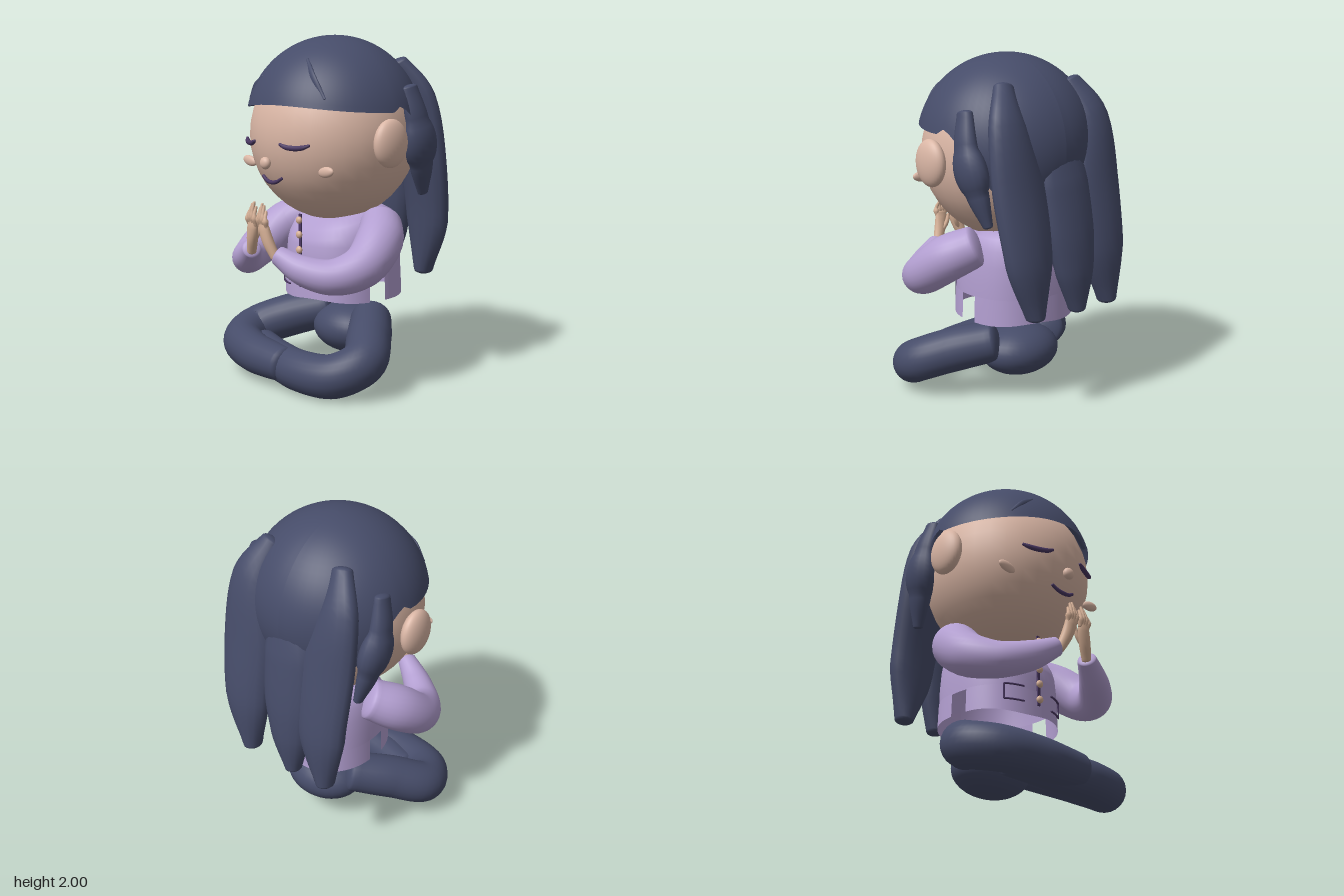
import * as THREE from 'three';

const mat = (name, color, side = THREE.FrontSide) => {
  const m = new THREE.MeshStandardMaterial({ color, side });
  m.name = name;
  return m;
};

// Smooth closed tube through points [x, y, z, radiusA, radiusB], with rounded ends
function sweep(pts, { sides = 16, steps = 24, round = 0.5, ref = [0, 0, 1] } = {}) {
  const path = new THREE.CatmullRomCurve3(pts.map(p => new THREE.Vector3(p[0], p[1], p[2])));
  const radii = new THREE.CatmullRomCurve3(pts.map(p => new THREE.Vector3(p[3], p[4] ?? p[3], 0)));
  const up = new THREE.Vector3(...ref), rings = [], pos = [], index = [], CAP = 5;
  for (let k = 0; k < CAP; k++) {
    const a = k / CAP * Math.PI / 2;
    rings.push([0, Math.sin(a), -Math.cos(a)]);
  }
  for (let i = 0; i <= steps; i++) rings.push([i / steps, 1, 0]);
  for (let k = CAP - 1; k >= 0; k--) {
    const a = k / CAP * Math.PI / 2;
    rings.push([1, Math.sin(a), Math.cos(a)]);
  }
  rings.forEach(([t, scale, offset], i) => {
    const c = path.getPoint(t), T = path.getTangent(t), r = radii.getPoint(t);
    const S = up.clone().cross(T).normalize(), N = T.clone().cross(S);
    c.addScaledVector(T, offset * round * Math.min(r.x, r.y));
    for (let j = 0; j < sides; j++) {
      const a = j / sides * Math.PI * 2;
      const v = c.clone().addScaledVector(S, Math.cos(a) * r.x * scale).addScaledVector(N, Math.sin(a) * r.y * scale);
      pos.push(v.x, v.y, v.z);
      if (i < rings.length - 1) {
        const p = i * sides + j, q = i * sides + (j + 1) % sides;
        index.push(p, q, p + sides, q, q + sides, p + sides);
      }
    }
  });
  const g = new THREE.BufferGeometry();
  g.setAttribute('position', new THREE.Float32BufferAttribute(pos, 3));
  g.setIndex(index);
  g.computeVertexNormals();
  return g;
}

// Squared-off body section shared by the shirt and pockets; the neckline drops towards the front
const POW = 2.4, BODY_Z = -0.065;
function shirtPart(profile, start, length, wave = 0) {
  const g = new THREE.LatheGeometry(profile.map(p => new THREE.Vector2(...p)), 48, start, length);
  const p = g.attributes.position;
  for (let i = 0; i < p.count; i++) {
    const x = p.getX(i), y = p.getY(i), z = p.getZ(i), r = Math.hypot(x, z);
    // The centre of the closed top has no direction to square off
    const f = r < 1e-6 ? 1 : (Math.abs(x / r) ** POW + Math.abs(z / r) ** POW) ** (-1 / POW);
    const drop = Math.max(0, z) * 0.33 * THREE.MathUtils.smoothstep(y, 0.75, 0.97);
    p.setXYZ(i, x * f, y - drop + (y < 0.5 ? wave * Math.sin(x * 14) : 0), z * f * 0.97 + BODY_Z);
  }
  g.computeVertexNormals();
  return g;
}
const frontZ = x => BODY_Z + 0.318 * (1 - (Math.abs(x) / 0.33) ** POW) ** (1 / POW);

// Hair cap whose rim height depends on the direction around the head
const CAP_Y = 1.48, CAP_R = 0.52;
function hairCap() {
  const g = new THREE.SphereGeometry(CAP_R, 64, 24, 0, Math.PI * 2, 0, Math.PI / 2);
  const p = g.attributes.position, uv = g.attributes.uv;
  for (let i = 0; i < p.count; i++) {
    const a = uv.getX(i) * Math.PI * 2 + Math.PI, cz = Math.cos(a), sx = Math.sin(a);
    let rim = 1.58 + 0.04 * Math.max(0, cz) ** 3 + 0.02 * sx * Math.max(0, cz);
    rim += 0.035 * Math.exp(-(((cz + 0.12) / 0.07) ** 2));
    rim -= 0.34 * THREE.MathUtils.smoothstep(-cz, 0.18, 0.8);
    const th = (1 - uv.getY(i)) * Math.acos((rim - CAP_Y) / CAP_R);
    const depth = cz < 0 ? 0.97 : 1;
    p.setXYZ(i, CAP_R * Math.sin(th) * sx, CAP_Y + CAP_R * Math.cos(th), CAP_R * Math.sin(th) * cz * depth);
  }
  g.computeVertexNormals();
  return g;
}

export function createModel() {
  const model = new THREE.Group();
  model.name = 'meditatingFigure';
  const skin = mat('skin', 0xdab6a5), hand = mat('handSkin', 0xd6b096);
  const hair = mat('navy', 0x464c69, THREE.DoubleSide);
  const shirt = mat('lilac', 0xb39fd1, THREE.DoubleSide), dark = mat('darkPurple', 0x4a3862);

  const add = (name, geometry, material) => {
    const m = new THREE.Mesh(geometry, material);
    m.name = name;
    model.add(m);
    return m;
  };
  const ball = (name, material, c, r) => {
    const m = add(name, new THREE.SphereGeometry(1, 32, 20), material);
    m.position.set(...c);
    m.scale.set(...r);
    return m;
  };
  const mirror = (pts, s) => pts.map(([x, ...rest]) => [x * s, ...rest]);

  // Head and face
  ball('head', skin, [0, 1.43, 0.01], [0.49, 0.5, 0.488]);
  ball('nose', skin, [0, 1.295, 0.51], [0.037, 0.035, 0.027]);
  add('mouth', sweep([[-0.085, 1.212, 0.46, 0.009], [-0.045, 1.19, 0.466, 0.011], [0, 1.183, 0.469, 0.012],
    [0.045, 1.19, 0.466, 0.011], [0.085, 1.212, 0.46, 0.009]], { sides: 8 }), dark);

  // Hair cap and back lock
  add('hairCap', hairCap(), hair);
  add('backLock', sweep([[0, 1.5, -0.43, 0.12, 0.05], [-0.03, 1.3, -0.46, 0.17, 0.075], [-0.05, 1.05, -0.49, 0.17, 0.085],
    [-0.07, 0.8, -0.51, 0.13, 0.08], [-0.09, 0.58, -0.51, 0.05, 0.055]]), hair);

  // Fringe ridges laid low on the cap, given by front x and y
  const ridge = (name, list) => add(name, sweep(list.map(([x, y, r]) =>
    [x, y, Math.sqrt(CAP_R ** 2 - x * x - (y - CAP_Y) ** 2) - 0.012, r, 0.013])), hair);
  ridge('leftFringeRidge', [[0.13, 1.87, 0.01], [0.23, 1.77, 0.028], [0.33, 1.66, 0.01]]);
  ridge('rightFringeRidge', [[-0.17, 1.77, 0.01], [-0.24, 1.71, 0.025], [-0.32, 1.64, 0.01]]);

  // Shirt: closed upper body, front and back panels with side slits
  add('shirtBody', shirtPart([[0.325, 0.63], [0.325, 0.72], [0.318, 0.82], [0.305, 0.91], [0.275, 0.975], [0.21, 1.01], [0, 1.015]],
    Math.PI, Math.PI * 2), shirt);
  const panel = [[0.332, 0.485], [0.33, 0.56], [0.327, 0.635]];
  add('frontPanel', shirtPart(panel, -Math.PI / 2 + 0.24, Math.PI - 0.48, 0.008), shirt);
  add('backPanel', shirtPart(panel, Math.PI / 2 + 0.11, Math.PI - 0.22, 0.008), shirt);
  add('placket', new THREE.BoxGeometry(0.02, 0.43, 0.009), dark).position.set(0, 0.765, 0.262);
  for (const y of [0.585, 0.68, 0.77, 0.86, 0.945]) ball('button', hand, [0, y, 0.272], [0.022, 0.022, 0.016]);

  // Hips
  ball('hips', hair, [0, 0.25, -0.12], [0.25, 0.15, 0.2]);

  for (const s of [1, -1]) {
    const side = s > 0 ? 'left' : 'right';
    const tube = (part, pts, material, opts) => add(side + part, sweep(mirror(pts, s), opts), material);

    // Ears, closed eyes and cheeks
    ball(side + 'Ear', skin, [s * 0.522, 1.415, 0.04], [0.058, 0.136, 0.117]);
    tube('ClosedEye', [[0.115, 1.41, 0.498, 0.008], [0.15, 1.396, 0.488, 0.014], [0.2, 1.391, 0.47, 0.015],
      [0.25, 1.396, 0.447, 0.014], [0.285, 1.41, 0.424, 0.008]], dark, { sides: 8 });
    ball(side + 'Cheek', skin, [s * 0.35, 1.265, 0.36], [0.062, 0.03, 0.02]).rotation.z = s * 0.15;

    // Long and short hair locks
    const [mid, end] = s > 0 ? [0.265, 0.23] : [0.295, 0.33];
    tube('LongLock', [[0.25, 1.84, -0.265, 0.065, 0.05], [0.31, 1.64, -0.37, 0.125, 0.075], [0.285, 1.25, -0.445, 0.175, 0.085],
      [mid, 0.9, -0.5, 0.155, 0.085], [end, 0.59, -0.51, 0.055, 0.062]], hair);
    tube('ShortLock', [[0.445, 1.71, -0.17, 0.035, 0.055], [0.47, 1.52, -0.21, 0.055, 0.08],
      [0.445, 1.28, -0.27, 0.055, 0.08], [0.41, 1.1, -0.32, 0.025, 0.035]], hair);

    // Sleeve
    tube('Sleeve', [[0.31, 0.925, -0.085, 0.12], [0.42, 0.85, 0.03, 0.135], [0.46, 0.735, 0.19, 0.122],
      [0.39, 0.685, 0.34, 0.102], [0.26, 0.715, 0.45, 0.085], [0.125, 0.79, 0.52, 0.055]], shirt,
      { sides: 24, steps: 40, round: 0.3, ref: [0, 1, 0] });

    // Hand with four fingers and a thumb
    tube('Palm', [[0.11, 0.78, 0.53, 0.027, 0.027], [0.076, 0.86, 0.55, 0.036, 0.03], [0.055, 0.93, 0.562, 0.041, 0.024],
      [0.05, 0.97, 0.566, 0.038, 0.016]], hand);
    [1.055, 1.08, 1.07, 1.04].forEach((top, i) => {
      const x = 0.02 + i * 0.02;
      tube('Finger', [[x, 0.95, 0.568, 0.012], [x, (0.95 + top) / 2, 0.575, 0.012], [x * 0.85 + 0.004, top - 0.008, 0.562, 0.008]],
        hand, { sides: 8, steps: 8, round: 1 });
    });
    tube('Thumb', [[0.065, 0.86, 0.54, 0.016], [0.035, 0.91, 0.53, 0.014], [0.022, 0.955, 0.53, 0.01]],
      hand, { sides: 8, steps: 8, round: 1 });

    // Pocket outline
    const row = y => [0.11, 0.145, 0.185, 0.22].map(x => [x, y, frontZ(x) + 0.012, 0.006]);
    tube('PocketTop', row(0.64), dark, { sides: 6, steps: 8 });
    tube('PocketBottom', row(0.55), dark, { sides: 6, steps: 8 });
    tube('PocketSide', [0.55, 0.595, 0.64].map(y => [0.22, y, frontZ(0.22) + 0.012, 0.005]), dark, { sides: 6, steps: 4 });

    // Crossed legs: the left shin passes behind the right one
    const thigh = [[0.2, 0.335, -0.11, 0.12], [0.37, 0.275, 0.06, 0.13], [0.5, 0.2, 0.22, 0.128]];
    const shin = s > 0
      ? [[0.42, 0.13, 0.36, 0.125], [0.2, 0.12, 0.42, 0.118], [-0.05, 0.13, 0.39, 0.11], [-0.3, 0.15, 0.31, 0.09]]
      : [[0.42, 0.165, 0.37, 0.125], [0.21, 0.145, 0.445, 0.117], [0.02, 0.14, 0.455, 0.108], [-0.09, 0.14, 0.455, 0.1]];
    tube('Leg', [...thigh, ...shin], hair, { sides: 24, steps: 48, round: 0.35, ref: [0, 1, 0] });
  }

  // Left foot tucked under the right knee
  ball('leftFoot', hand, [-0.36, 0.14, 0.27], [0.07, 0.045, 0.05]);
  return model;
}
